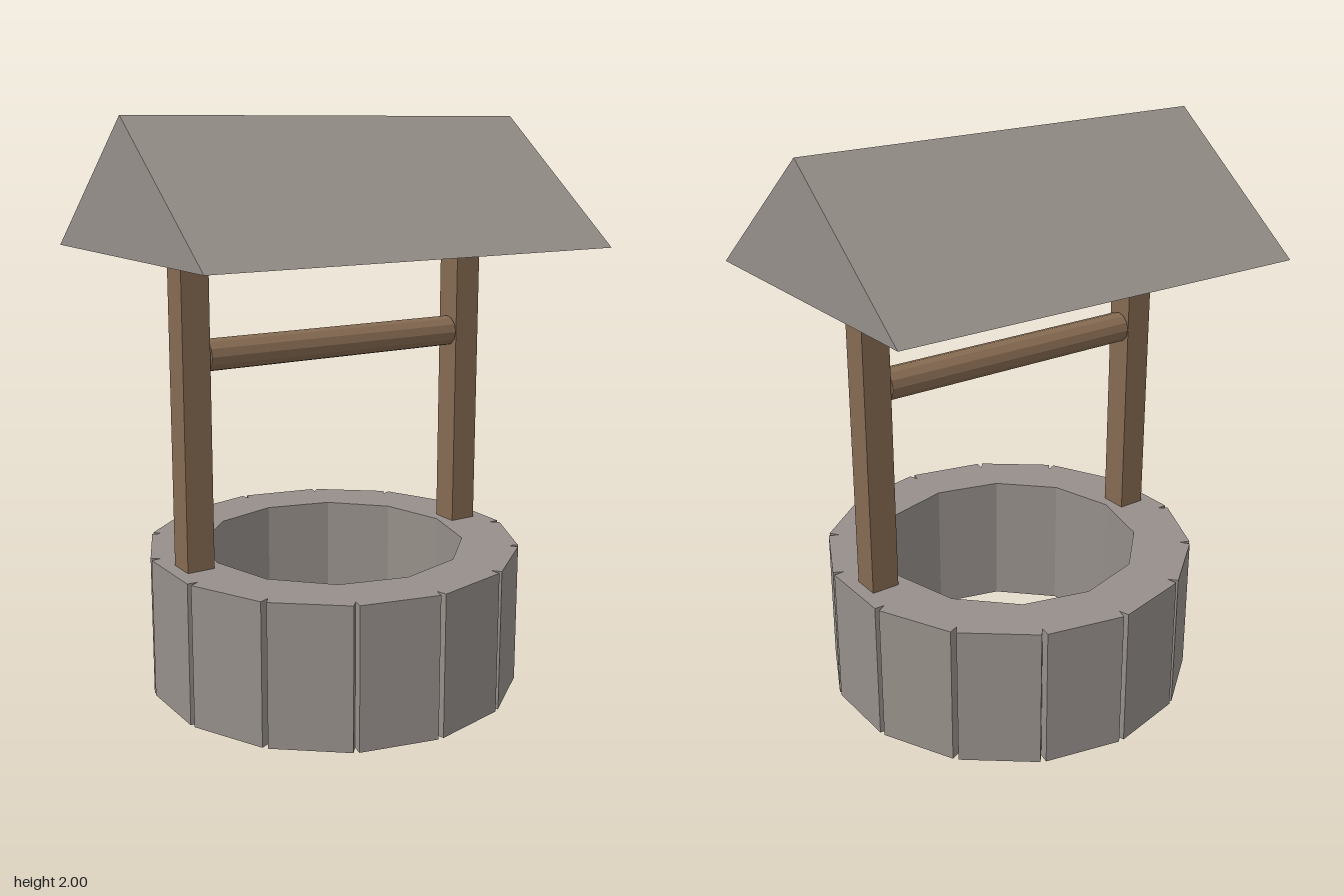
import * as THREE from 'three';

export function createModel() {
  const stone = new THREE.MeshStandardMaterial({ color: 0x968f8a });
  stone.name = 'stone grey';
  stone.flatShading = true;
  const wood = new THREE.MeshStandardMaterial({ color: 0x866b52 });
  wood.name = 'wood brown';
  wood.flatShading = true;

  const group = new THREE.Group();
  group.name = 'well';
  const add = (name, geometry, material, x = 0, y = 0, z = 0) => {
    const mesh = new THREE.Mesh(geometry, material);
    mesh.name = name;
    mesh.position.set(x, y, z);
    group.add(mesh);
    return mesh;
  };

  // Stone ring: 14 sides with a narrow V groove at each corner, 12-sided shaft
  const SIDES = 14, R = 0.668, GROOVE_DEPTH = 0.038, GROOVE_HALF = 0.01;
  const polar = (r, a) => new THREE.Vector2(r * Math.cos(a), r * Math.sin(a));
  const corner = (k) => polar(R, Math.PI / 2 + (k * 2 * Math.PI) / SIDES);
  const toward = (a, b) => a.clone().add(b.clone().sub(a).setLength(GROOVE_HALF));
  const outline = [];
  for (let k = 0; k < SIDES; k++) {
    const c = corner(k);
    outline.push(
      toward(c, corner(k - 1)),
      c.clone().setLength(R - GROOVE_DEPTH),
      toward(c, corner(k + 1))
    );
  }
  const ring = new THREE.Shape(outline);
  const hole = [];
  for (let k = 0; k < 12; k++) hole.push(polar(0.47, (-k * Math.PI) / 6));
  ring.holes.push(new THREE.Path(hole));
  const wall = new THREE.ExtrudeGeometry(ring, { depth: 0.5, bevelEnabled: false });
  wall.rotateX(-Math.PI / 2);
  add('stoneWall', wall, stone);

  // Two posts standing on the wall
  for (const [name, side] of [['leftPost', 1], ['rightPost', -1]]) {
    add(name, new THREE.BoxGeometry(0.1, 1.08, 0.1), wood, side * 0.555, 1.04, 0);
  }

  // Rope roller between the posts
  const roller = new THREE.CylinderGeometry(0.055, 0.055, 1, 12);
  roller.rotateZ(Math.PI / 2);
  add('roller', roller, wood, 0, 1.225, 0);

  // Cross beam, mostly sunk into the roof
  add('crossBeam', new THREE.BoxGeometry(1.33, 0.08, 0.085), wood, 0, 1.585, 0);

  // Solid gable roof
  const gable = new THREE.Shape([
    new THREE.Vector2(-0.555, 1.56),
    new THREE.Vector2(0.555, 1.56),
    new THREE.Vector2(0, 2),
  ]);
  const roof = new THREE.ExtrudeGeometry(gable, { depth: 1.55, bevelEnabled: false });
  roof.translate(0, 0, -0.775).rotateY(Math.PI / 2);
  add('roof', roof, stone);

  return group;
}
